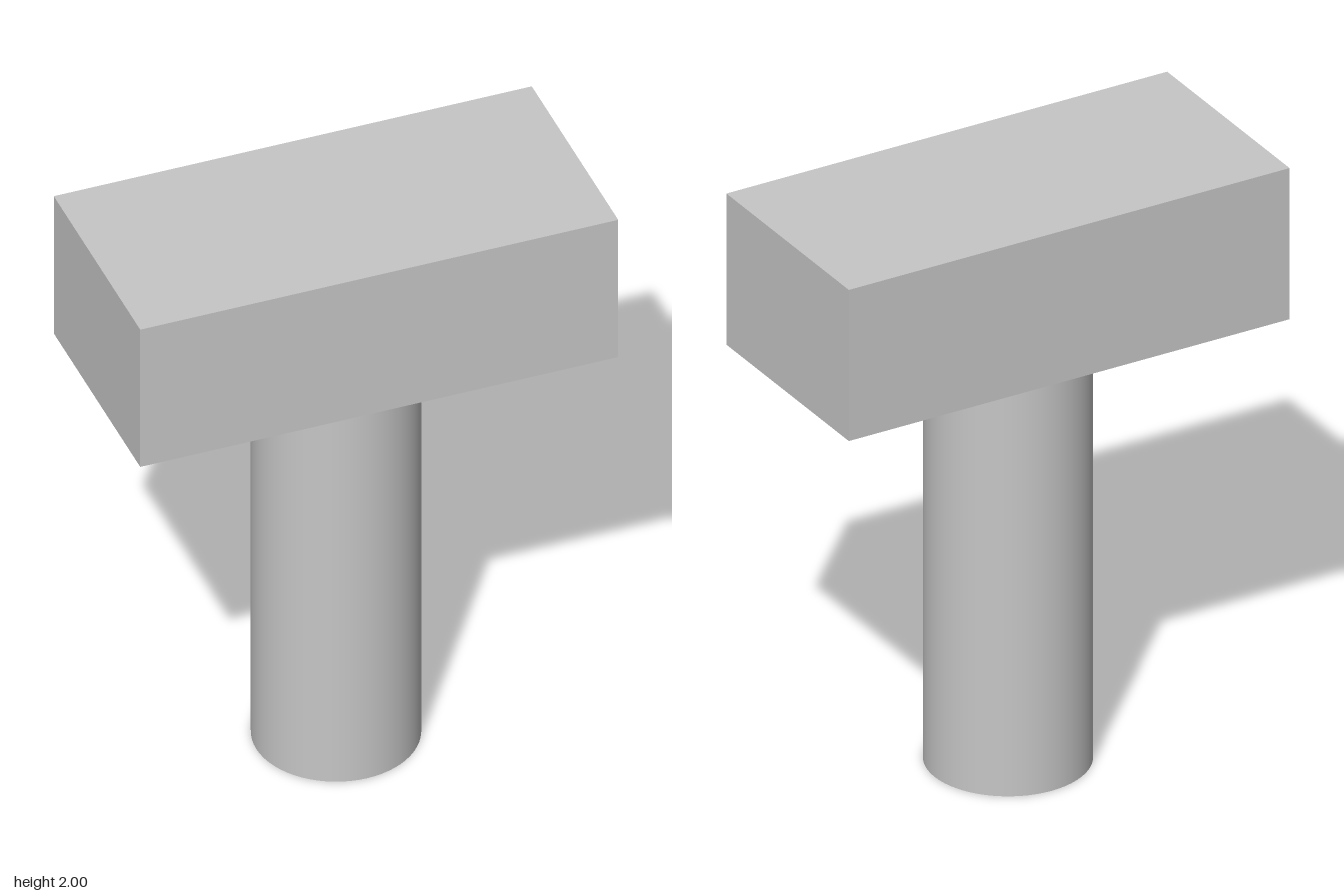
import * as THREE from 'three';

export function createModel() {
  const group = new THREE.Group();
  const grey = new THREE.MeshStandardMaterial({ name: 'light grey', color: 0xc6c6c6 });

  const total = 2;
  const headHeight = 0.525;
  const shaftHeight = total - headHeight;

  // Round shaft standing on the ground
  const shaft = new THREE.Mesh(new THREE.CylinderGeometry(0.262, 0.262, shaftHeight, 64), grey);
  shaft.name = 'shaft';
  shaft.position.y = shaftHeight / 2;

  // Rectangular block head
  const head = new THREE.Mesh(new THREE.BoxGeometry(1.574, headHeight, 0.738), grey);
  head.name = 'head';
  head.position.y = total - headHeight / 2;

  group.add(shaft, head);
  return group;
}
